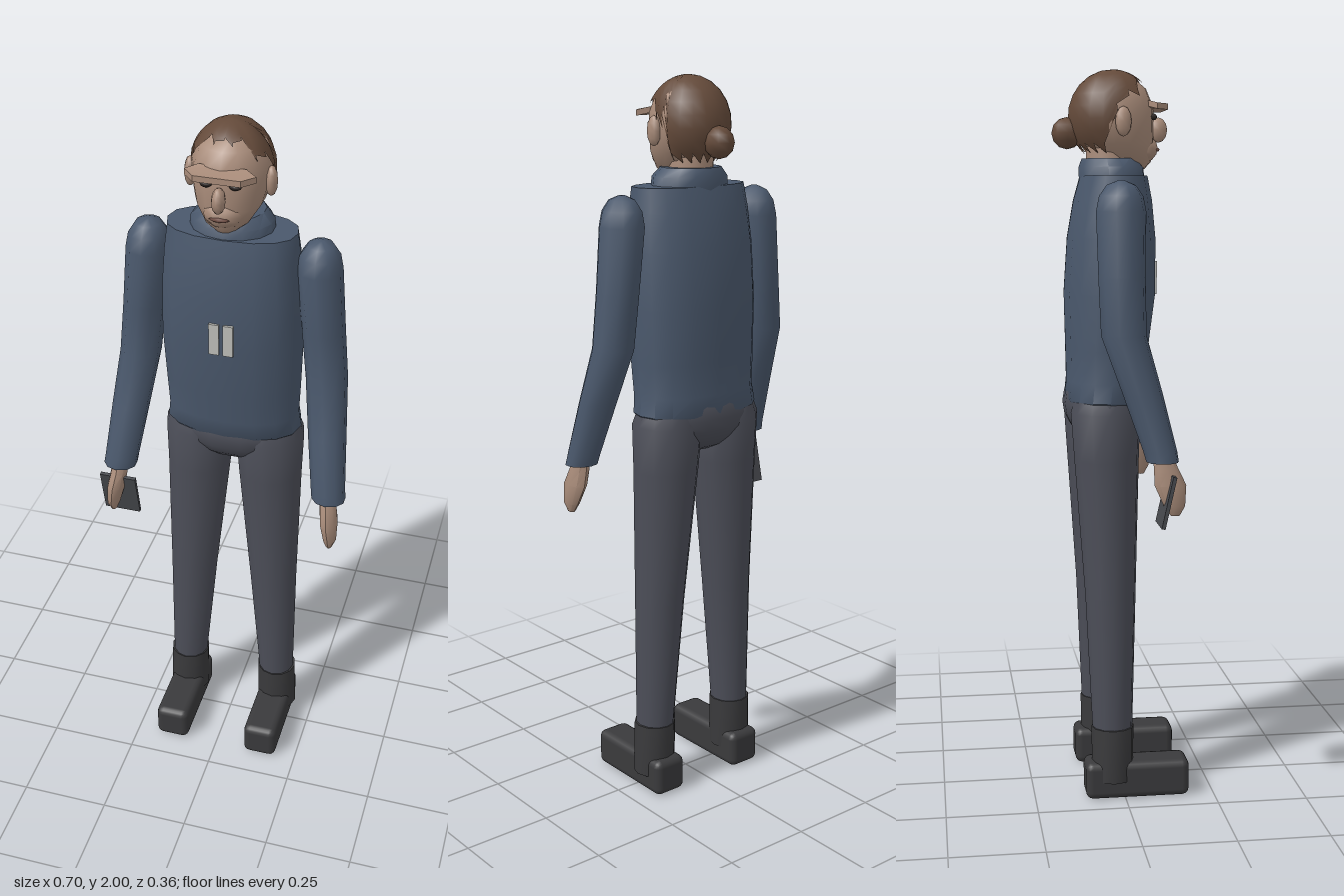
import * as THREE from 'three';
import { RoundedBoxGeometry } from 'three/addons/geometries/RoundedBoxGeometry.js';
import { toCreasedNormals } from 'three/addons/utils/BufferGeometryUtils.js';

const COLORS = {
  jacket: 0x4a586c, trousers: 0x4c4e58, boots: 0x3a3a3c, skin: 0xa98c7a,
  hair: 0x644a3a, dark: 0x2a2422, badge: 0xbdbdb8, pad: 0x47494e, lips: 0x6e4c42,
};
const materials = {};
for (const key in COLORS) {
  materials[key] = new THREE.MeshStandardMaterial({ color: COLORS[key], side: THREE.DoubleSide });
}

function add(parent, name, geometry, color, position = [0, 0, 0], rotation = [0, 0, 0]) {
  const mesh = new THREE.Mesh(geometry, materials[color]);
  mesh.name = name;
  mesh.position.set(...position);
  mesh.rotation.set(...rotation);
  parent.add(mesh);
  return mesh;
}

// Closed skin over horizontal rings [y, centreX, centreZ, radiusX, radiusZ], listed upwards.
// power below 1 squares off the rings.
function loft(rings, sides = 12, power = 1) {
  const points = [], index = [];
  const bend = (v) => Math.sign(v) * Math.abs(v) ** power;
  for (const [y, cx, cz, rx, rz] of rings) {
    for (let i = 0; i < sides; i++) {
      const a = (i / sides) * Math.PI * 2;
      points.push(cx + rx * bend(Math.sin(a)), y, cz + rz * bend(Math.cos(a)));
    }
  }
  for (let r = 0; r < rings.length - 1; r++) {
    for (let i = 0; i < sides; i++) {
      const a = r * sides + i, b = r * sides + (i + 1) % sides;
      index.push(a, b, b + sides, a, b + sides, a + sides);
    }
  }
  const top = (rings.length - 1) * sides;
  for (let i = 1; i < sides - 1; i++) {
    index.push(0, i + 1, i, top, top + i, top + i + 1);
  }
  const geometry = new THREE.BufferGeometry();
  geometry.setAttribute('position', new THREE.Float32BufferAttribute(points, 3));
  geometry.setIndex(index);
  return toCreasedNormals(geometry, 0.8);
}

function ellipsoid(rx, ry, rz, w = 10, h = 8) {
  return new THREE.SphereGeometry(1, w, h).scale(rx, ry, rz);
}

// Hair cap: a sphere whose lower edge follows the hairline around the head
function hairGeometry() {
  const geometry = new THREE.SphereGeometry(1, 20, 9);
  const p = geometry.attributes.position;
  for (let i = 0; i < p.count; i++) {
    const column = i % 21, row = Math.floor(i / 21);
    const a = (column / 20) * Math.PI * 2; // 0 is the front
    const side = Math.abs(a > Math.PI ? a - Math.PI * 2 : a);
    let limit = 0.67 + (column % 2) * 0.12;
    if (side > 0.9) limit = 1.15;
    if (side > 1.4) limit = 1.5;
    if (side > 1.8) limit = 2.45;
    const t = (row / 9) * limit;
    p.setXYZ(i, 0.109 * Math.sin(t) * Math.sin(a), 0.127 * Math.cos(t), 0.121 * Math.sin(t) * Math.cos(a));
  }
  geometry.computeVertexNormals();
  return geometry;
}

function buildHead() {
  const head = new THREE.Group();
  head.name = 'head';
  add(head, 'neck', loft([[1.69, 0, -0.02, 0.065, 0.065], [1.82, 0, -0.02, 0.06, 0.065]]), 'skin');
  add(head, 'face', loft([
    [1.735, 0, 0.04, 0.03, 0.035], [1.755, 0, 0.028, 0.057, 0.065], [1.8, 0, 0.005, 0.087, 0.096],
    [1.85, 0, -0.012, 0.1, 0.112], [1.9, 0, -0.014, 0.1, 0.114], [1.95, 0, -0.014, 0.083, 0.093],
    [1.985, 0, -0.014, 0.045, 0.05],
  ], 14), 'skin');
  add(head, 'jaw', ellipsoid(0.055, 0.042, 0.052), 'skin', [0, 1.79, 0.06]);
  add(head, 'hair', hairGeometry(), 'hair', [0, 1.873, -0.014]);
  add(head, 'hairBun', ellipsoid(0.04, 0.043, 0.042, 8, 6), 'hair', [0, 1.83, -0.138]);

  // Overhanging brow, raised in the middle
  const outline = [[-0.09, 0.097], [-0.06, 0.13], [0.06, 0.13], [0.09, 0.097], [0.06, 0.078], [-0.06, 0.078]];
  const brow = new THREE.ExtrudeGeometry(
    new THREE.Shape(outline.map(([x, z]) => new THREE.Vector2(x, -z))), { depth: 0.016, bevelEnabled: false });
  brow.rotateX(-Math.PI / 2);
  const p = brow.attributes.position;
  for (let i = 0; i < p.count; i++) {
    p.setY(i, p.getY(i) + 1.902 - 0.16 * Math.max(0, Math.abs(p.getX(i)) - 0.04) - 0.15 * (p.getZ(i) - 0.08));
  }
  add(head, 'brow', toCreasedNormals(brow, 0.5), 'skin');

  add(head, 'nose', ellipsoid(0.018, 0.034, 0.025, 8, 6), 'skin', [0, 1.84, 0.113]);
  add(head, 'mouth', ellipsoid(0.027, 0.006, 0.01, 8, 4), 'lips', [0, 1.787, 0.107]);
  for (const s of [-1, 1]) {
    add(head, 'eye', ellipsoid(0.016, 0.009, 0.01, 8, 6), 'dark', [s * 0.037, 1.873, 0.094]);
    add(head, 'ear', ellipsoid(0.016, 0.04, 0.022, 8, 6), 'skin', [s * 0.104, 1.857, 0.003]);
  }
  return head;
}

function buildArm(s) {
  const arm = new THREE.Group();
  arm.name = s > 0 ? 'leftArm' : 'rightArm';
  add(arm, 'sleeve', loft([
    [0.972, s * 0.3, 0.08, 0.047, 0.043], [1.0, s * 0.296, 0.074, 0.047, 0.045],
    [1.15, s * 0.278, 0.03, 0.052, 0.053], [1.3, s * 0.26, -0.017, 0.056, 0.06],
    [1.45, s * 0.245, -0.02, 0.057, 0.062], [1.62, s * 0.229, -0.02, 0.059, 0.066],
    [1.66, s * 0.228, -0.02, 0.052, 0.058], [1.688, s * 0.228, -0.02, 0.034, 0.038],
    [1.7, s * 0.228, -0.02, 0.008, 0.008],
  ], 10), 'jacket');
  add(arm, 'hand', loft([
    [0.83, s * 0.315, 0.112, 0.008, 0.012], [0.855, s * 0.315, 0.11, 0.018, 0.028],
    [0.91, s * 0.308, 0.1, 0.025, 0.042], [0.95, s * 0.302, 0.09, 0.024, 0.033],
    [0.99, s * 0.298, 0.08, 0.022, 0.025],
  ], 8), 'skin');
  return arm;
}

function buildLeg(s) {
  const leg = new THREE.Group();
  leg.name = s > 0 ? 'leftLeg' : 'rightLeg';
  add(leg, 'trouserLeg', loft([
    [0.12, s * 0.14, -0.032, 0.05, 0.053], [0.2, s * 0.139, -0.032, 0.053, 0.056],
    [0.57, s * 0.122, -0.035, 0.07, 0.07], [0.95, s * 0.104, -0.043, 0.091, 0.089],
    [1.08, s * 0.1, -0.045, 0.098, 0.096], [1.13, s * 0.1, -0.045, 0.078, 0.08],
  ], 12), 'trousers');
  add(leg, 'bootShaft', loft([
    [0.05, s * 0.143, -0.032, 0.06, 0.058], [0.2, s * 0.14, -0.032, 0.058, 0.059],
  ], 12), 'boots');
  add(leg, 'boot', new RoundedBoxGeometry(0.1, 0.104, 0.29, 2, 0.02), 'boots', [s * 0.14, 0.052, 0.035]);
  return leg;
}

export function createModel() {
  const model = new THREE.Group();
  model.name = 'standingFigure';

  // Body
  add(model, 'torso', loft([
    [1.08, 0, -0.045, 0.165, 0.085], [1.11, 0, -0.042, 0.19, 0.106], [1.16, 0, -0.036, 0.183, 0.107],
    [1.25, 0, -0.032, 0.187, 0.113], [1.4, 0, -0.024, 0.192, 0.125], [1.55, 0, -0.019, 0.188, 0.12],
    [1.65, 0, -0.015, 0.18, 0.106], [1.715, 0, -0.012, 0.172, 0.09],
  ], 16, 0.85), 'jacket');
  add(model, 'collar', loft([
    [1.7, 0, -0.015, 0.112, 0.09], [1.738, 0, -0.017, 0.108, 0.09], [1.762, 0, -0.022, 0.085, 0.076],
  ], 14), 'jacket');
  add(model, 'pelvis', ellipsoid(0.192, 0.105, 0.108, 14, 10), 'trousers', [0, 1.094, -0.045]);

  // Chest badge of two bars
  for (const x of [-0.017, 0.021]) {
    add(model, 'badgeBar', new THREE.BoxGeometry(0.027, 0.09, 0.012), 'badge', [x, 1.44, 0.1]);
  }

  for (const s of [-1, 1]) model.add(buildArm(s), buildLeg(s));
  model.add(buildHead());

  // Flat pad held in the right hand
  add(model, 'handheldPad', new THREE.BoxGeometry(0.104, 0.14, 0.01), 'pad', [-0.302, 0.87, 0.09], [0.22, 0, 0]);
  return model;
}
